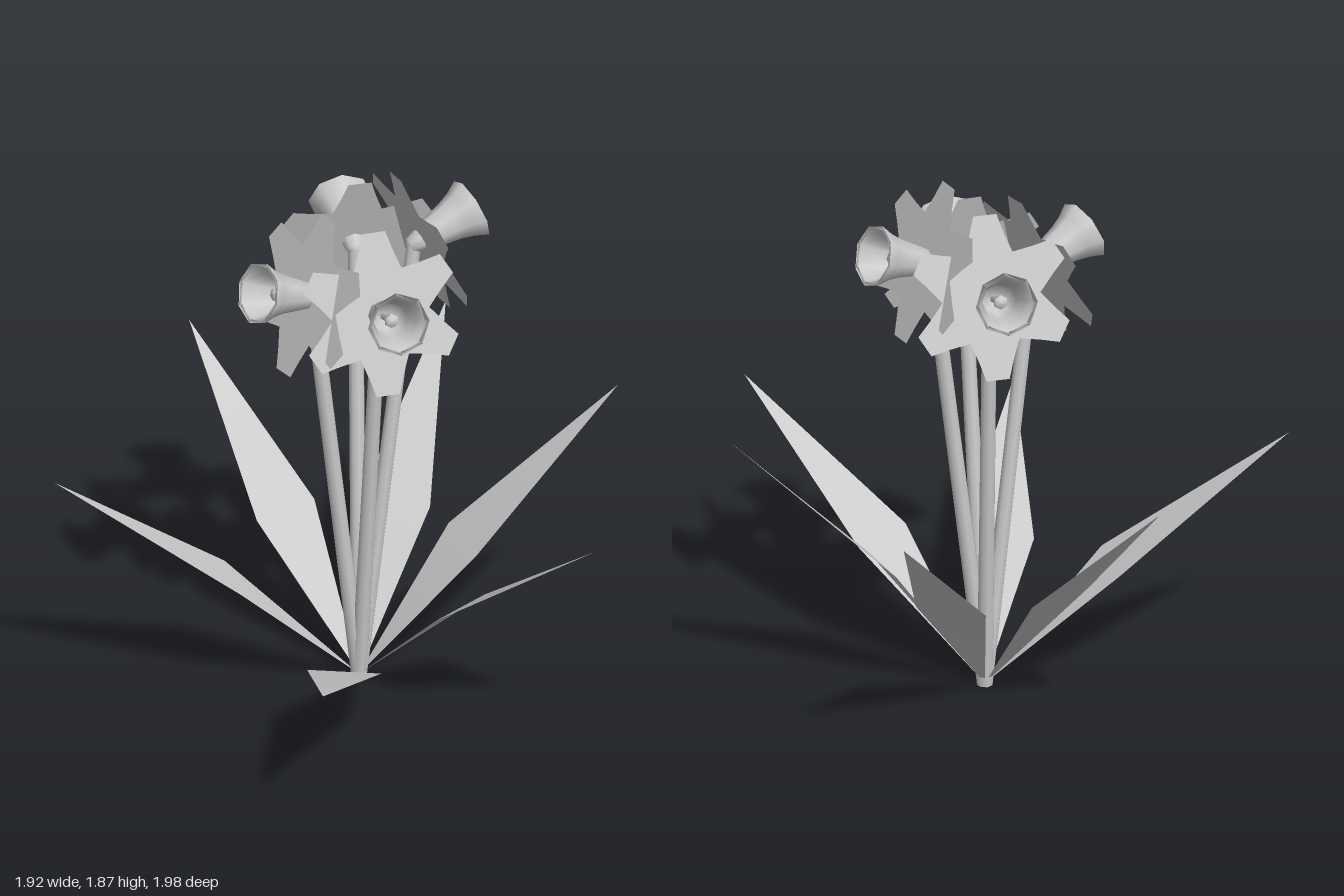
import * as THREE from 'three';

const pale = new THREE.MeshStandardMaterial({ color: 0xcccccc, side: THREE.DoubleSide });
pale.name = 'pale grey';

const BASE = new THREE.Vector3(0.07, 0.01, -0.13);

function part(name, geometry) {
  const mesh = new THREE.Mesh(geometry, pale);
  mesh.name = name;
  return mesh;
}

// Kite-shaped leaf: base point, two shoulders and a tip
function leaf(tip, a, b) {
  const g = new THREE.BufferGeometry();
  g.setAttribute('position', new THREE.Float32BufferAttribute([...BASE.toArray(), ...a, ...tip, ...b], 3));
  g.setIndex([0, 1, 3, 1, 2, 3]);
  g.computeVertexNormals();
  return part('leaf', g);
}

// Flat six-petalled star with blunt tips
function petalGeometry() {
  const pts = [];
  const add = (a, r, w) => pts.push(new THREE.Vector2(
    r * Math.cos(a) - w * Math.sin(a), r * Math.sin(a) + w * Math.cos(a)));
  for (let i = 0; i < 6; i++) {
    const a = Math.PI / 2 + (i * Math.PI) / 3;
    add(a, 0.215, -0.06);
    add(a, 0.28, -0.04);
    add(a, 0.28, 0.04);
    add(a, 0.215, 0.06);
    add(a + Math.PI / 6, 0.17, 0);
  }
  return new THREE.ShapeGeometry(new THREE.Shape(pts));
}

// Turned parts point along +z
function turned(profile, sides) {
  const pts = profile.map(([r, y]) => new THREE.Vector2(r, y));
  return new THREE.LatheGeometry(pts, sides).rotateX(Math.PI / 2);
}

const petals = petalGeometry();
const trumpet = turned([[0.045, 0], [0.058, 0.06], [0.07, 0.12], [0.085, 0.165], [0.108, 0.21],
  [0.093, 0.207], [0.075, 0.16], [0.06, 0.11], [0.045, 0.04], [0, 0.03]], 8);
const pistil = turned([[0.014, 0.02], [0.014, 0.11], [0.026, 0.12], [0.022, 0.14], [0, 0.145]], 6);
const calyx = turned([[0, -0.05], [0.028, -0.04], [0.04, 0]], 8);

function flower(x, y, z, yaw, tilt) {
  const g = new THREE.Group();
  g.name = 'flower';
  g.add(part('petals', petals), part('trumpet', trumpet), part('pistil', pistil), part('calyx', calyx));
  g.position.set(x, y, z);
  g.rotation.set(-tilt, yaw, 0, 'YXZ');
  return g;
}

// Straight stem from the base to the back of a flower
function stem(head) {
  const end = new THREE.Vector3(0, 0, -0.025).applyEuler(head.rotation).add(head.position);
  const dir = end.clone().sub(BASE);
  const mesh = part('stem', new THREE.CylinderGeometry(0.026, 0.028, dir.length(), 8));
  mesh.position.copy(BASE).addScaledVector(dir, 0.5);
  mesh.quaternion.setFromUnitVectors(new THREE.Vector3(0, 1, 0), dir.normalize());
  return mesh;
}

export function createModel() {
  const model = new THREE.Group();
  model.name = 'flowerClump';

  // Leaves: tip, then the two shoulders
  [
    [[-0.26, 0.97, -0.99], [-0.19, 0.47, -0.45], [0.04, 0.47, -0.54]],
    [[0.62, 0.94, -0.92], [0.20, 0.46, -0.53], [0.40, 0.46, -0.39]],
    [[0.955, 1.01, -0.05], [0.41, 0.49, -0.21], [0.43, 0.48, 0.03]],
    [[0.625, 0.84, 0.76], [0.41, 0.42, 0.19], [0.20, 0.42, 0.32]],
    [[-0.405, 0.57, 0.99], [-0.02, 0.30, 0.41], [-0.25, 0.30, 0.31]],
    [[-0.965, 0.84, -0.25], [-0.37, 0.42, -0.05], [-0.35, 0.42, -0.30]],
  ].forEach(([tip, a, b]) => model.add(leaf(tip, a, b)));

  // Flowers: centre, yaw and upward tilt
  [
    [0.08, 1.485, 0.085, 0, 0.3],
    [0.115, 1.54, -0.335, 3.08, 0.32],
    [0.29, 1.615, -0.15, 1.77, 0.34],
    [-0.135, 1.51, -0.07, -1.25, 0.34],
  ].forEach((f) => {
    const head = flower(...f);
    model.add(head, stem(head));
  });

  return model;
}
